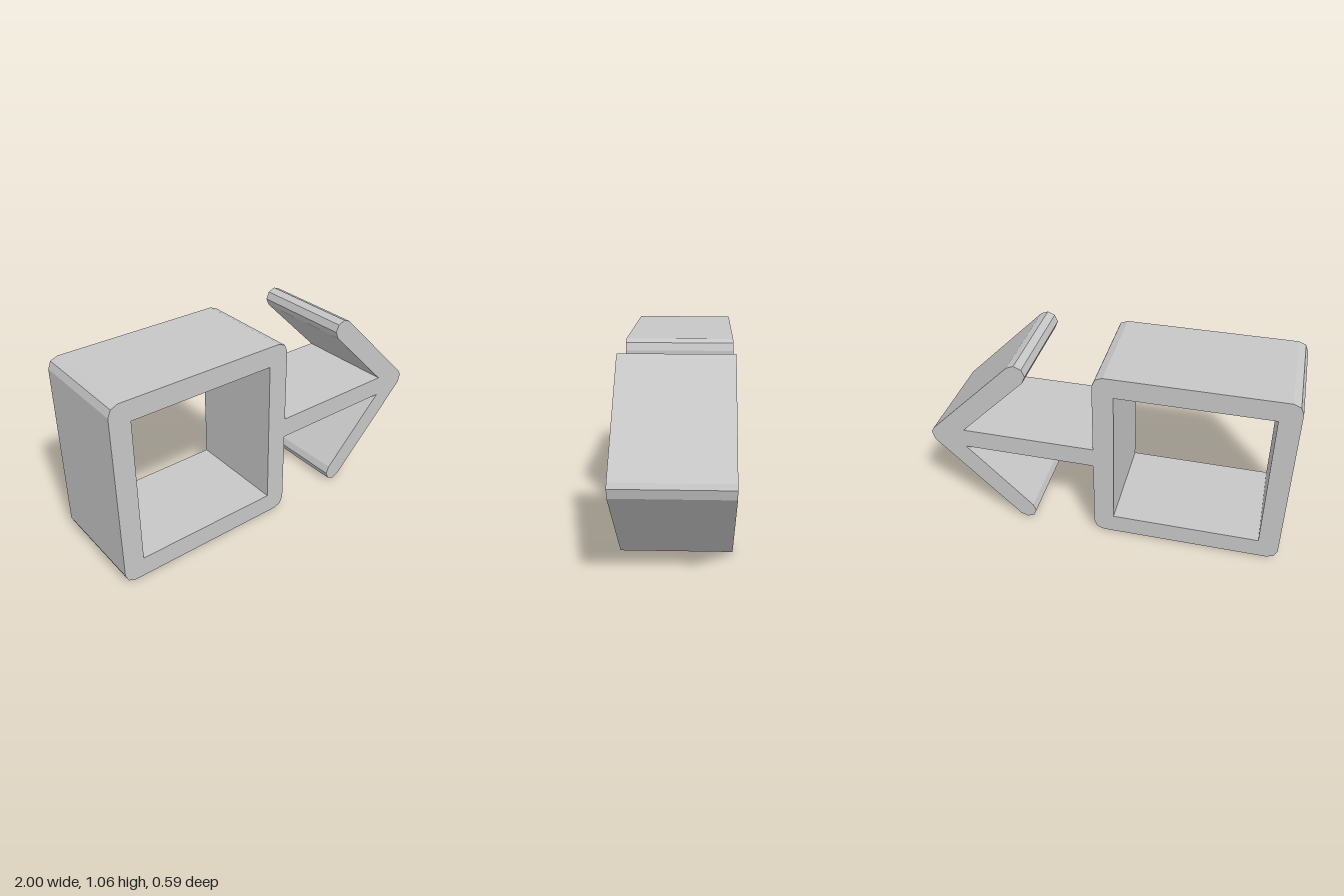
import * as THREE from 'three';

const MID = 0.53;    // height of the arrow's axis
const R = 0.057;     // half the bar thickness, also the corner radius
const DEPTH = 0.59;

// Faceted arc of points around a centre, angles in degrees
function arc(x, y, from, to, steps) {
  return Array.from({ length: steps + 1 }, (_, i) => {
    const a = THREE.MathUtils.degToRad(from + ((to - from) * i) / steps);
    return new THREE.Vector2(x + R * Math.cos(a), y + R * Math.sin(a));
  });
}

export function createModel() {
  const grey = new THREE.MeshStandardMaterial({ color: 0xc6c6c6 });
  grey.name = 'light grey';

  const left = -1 + R, right = -0.002, low = R, high = 2 * MID - R;
  const armX = 0.467, tipX = 1 - R;
  const inner = 0.8;   // where the barbs meet the shaft
  const p = (x, y) => new THREE.Vector2(x, y);

  // One continuous outline: square frame, shaft and arrowhead, counter-clockwise
  const outline = new THREE.Shape([
    ...arc(left, high, 90, 180, 2),
    ...arc(left, low, 180, 270, 2),
    ...arc(right, low, 270, 360, 2),
    p(right + R, MID - R),
    p(inner, MID - R),
    ...arc(armX, low, 135, 315, 4),
    p(0.985, 0.495), p(0.998, 0.545), p(0.983, 0.571),
    ...arc(armX, high, 45, 225, 4),
    p(inner, MID + R),
    p(right + R, MID + R),
    ...arc(right, high, 0, 90, 2),
  ]);

  // Square opening of the frame
  const x0 = left + R, x1 = right - R, y0 = low + R, y1 = high - R;
  outline.holes.push(new THREE.Path([p(x0, y0), p(x0, y1), p(x1, y1), p(x1, y0)]));

  const geometry = new THREE.ExtrudeGeometry(outline, { depth: DEPTH, bevelEnabled: false });
  geometry.translate(0, 0, -DEPTH / 2);

  const body = new THREE.Mesh(geometry, grey);
  body.name = 'squareFrameWithArrow';
  const group = new THREE.Group();
  group.name = 'frameAndArrow';
  group.add(body);
  return group;
}
